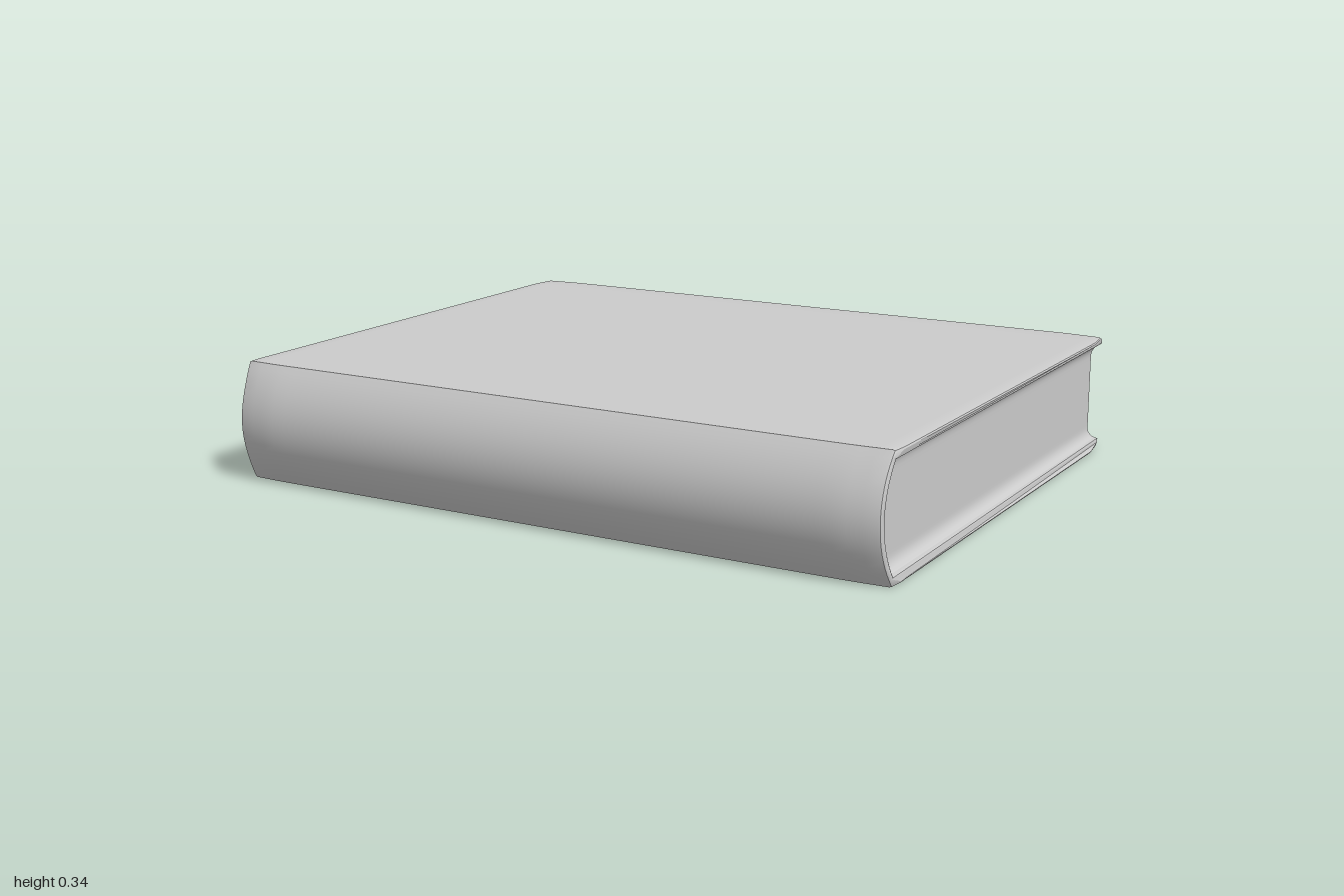
import * as THREE from 'three';
import { toCreasedNormals } from 'three/addons/utils/BufferGeometryUtils.js';

const H = 0.34, MID = H / 2, BOARD = 0.025;
const grey = () => new THREE.MeshStandardMaterial({ color: 0xcccccc });

// z of the rounded spine at height y
const spineZ = (y, top) => top - 0.065 * ((y - MID) / MID) ** 2;

// quarter-round fillet: 1 at distance 0, falling to 0 at distance r
const fillet = (d, r) => (d >= r ? 0 : 1 - Math.sqrt(1 - (1 - Math.max(d, 0) / r) ** 2));

// Boards and spine: one C-shaped section extruded across the width
function coverGeometry() {
  const upper = [[-0.80, H - BOARD], [-0.81, 0.32], [-0.81, 0.332], [-0.785, H], [-0.7, H], [0.7, H]];
  const pts = [...upper];
  const n = 20;
  for (let i = 0; i <= n; i++) {
    const y = H * (1 - i / n);
    pts.push([spineZ(y, 0.81), y]);
  }
  pts.push(...upper.map(([z, y]) => [z, H - y]).reverse());
  for (let i = 0; i <= n; i++) {
    const y = BOARD + (H - 2 * BOARD) * (i / n);
    pts.push([spineZ(y, 0.785), y]);
  }
  const shape = new THREE.Shape(pts.map(([z, y]) => new THREE.Vector2(-z, y)));
  const bevel = 0.008;
  const geo = new THREE.ExtrudeGeometry(shape, {
    depth: 2 - 2 * bevel, steps: 50, bevelEnabled: true, bevelSize: 0.006,
    bevelThickness: bevel, bevelOffset: -0.006, bevelSegments: 2,
  });
  geo.translate(0, 0, -1 + bevel);
  geo.rotateY(Math.PI / 2);

  // ease the four corners inwards in plan
  const p = geo.attributes.position;
  for (let i = 0; i < p.count; i++) {
    const x = p.getX(i), z = p.getZ(i);
    const a = THREE.MathUtils.smoothstep(Math.abs(x), 0.88, 1);
    const b = THREE.MathUtils.smoothstep(Math.abs(z), 0.7, 0.81);
    p.setX(i, x * (1 - 0.013 * b));
    p.setZ(i, z - Math.sign(z) * 0.012 * a * b);
  }
  return toCreasedNormals(geo, 0.6);
}

// Page edges: a wall around three sides, flaring where it meets the cover
function pagesGeometry() {
  const rows = 32, sideCols = 16;
  const y0 = 0.02, y1 = H - 0.02;
  const pos = [], idx = [];
  let cols = 0;
  for (let i = 0; i <= rows; i++) {
    // rows are packed towards the top and bottom
    const y = MID - Math.cos((i / rows) * Math.PI) * (y1 - y0) / 2;
    const flare = fillet(Math.min(y - BOARD, H - BOARD - y), 0.035);
    const front = spineZ(y, 0.79), back = -0.778 - 0.022 * flare;
    const side = [];
    for (let j = 0; j <= sideCols; j++) {
      const z = THREE.MathUtils.lerp(front, back, (j / sideCols) ** 3);
      const x = 0.96 + 0.025 * Math.max(flare, fillet(front - z, 0.06));
      side.push([x, y, z]);
    }
    const ring = [...side, ...side.map(([x, h, z]) => [-x, h, z]).reverse()];
    cols = ring.length;
    ring.forEach((v) => pos.push(...v));
  }
  for (let i = 0; i < rows; i++) {
    for (let j = 0; j < cols - 1; j++) {
      const a = i * cols + j, b = a + 1, c = a + cols, d = c + 1;
      idx.push(a, b, c, b, d, c);
    }
  }
  const geo = new THREE.BufferGeometry();
  geo.setAttribute('position', new THREE.Float32BufferAttribute(pos, 3));
  geo.setIndex(idx);
  return toCreasedNormals(geo, 0.7);
}

export function createModel() {
  const book = new THREE.Group();
  book.name = 'book';

  const cover = new THREE.Mesh(coverGeometry(), grey());
  cover.name = 'cover';

  const pages = new THREE.Mesh(pagesGeometry(), grey());
  pages.name = 'pages';
  pages.material.side = THREE.DoubleSide;

  book.add(cover, pages);
  return book;
}
